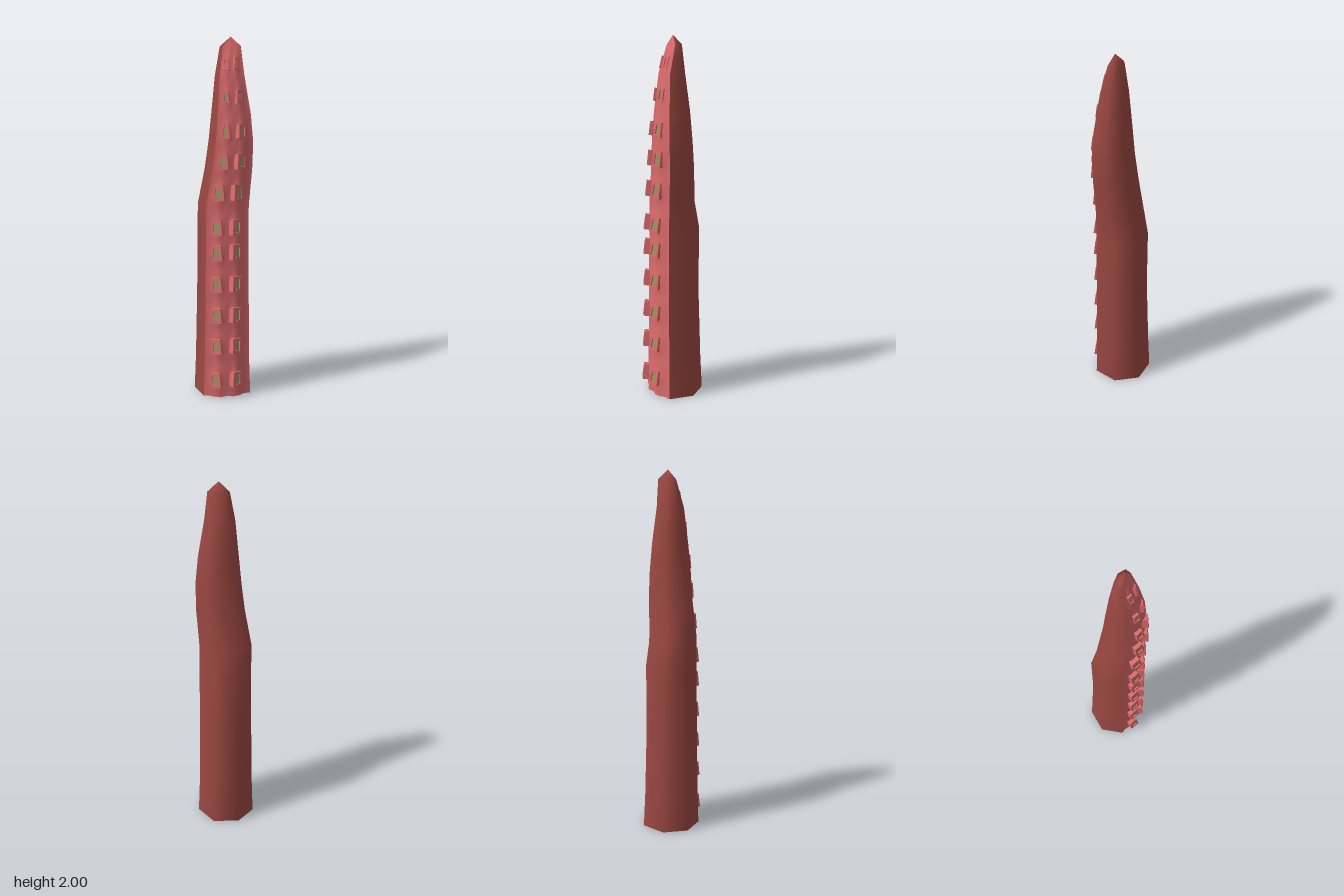
import * as THREE from 'three';

const skin = new THREE.MeshStandardMaterial({ color: 0x9c4842, side: THREE.DoubleSide });
const pink = new THREE.MeshStandardMaterial({ color: 0xd96a6c, side: THREE.DoubleSide });
const tan = new THREE.MeshStandardMaterial({ color: 0x9c9060 });

// Limits of the arm at each height: y, xMin, xMax, zMin, zMax
const levels = [
  [0, -0.165, 0.16, -0.16, 0.135],
  [0.2, -0.157, 0.152, -0.15, 0.13],
  [0.6, -0.148, 0.146, -0.136, 0.126],
  [0.95, -0.143, 0.143, -0.138, 0.124],
  [1.1, -0.143, 0.143, -0.108, 0.118],
  [1.3, -0.105, 0.158, -0.09, 0.12],
  [1.45, -0.085, 0.16, -0.075, 0.124],
  [1.6, -0.07, 0.145, -0.063, 0.113],
  [1.8, -0.05, 0.11, -0.043, 0.085],
  [1.95, -0.022, 0.092, -0.025, 0.038],
];
const tip = [0.035, 2, 0.015];
const suckerHeights = [0.11, 0.31, 0.49, 0.67, 0.85, 0.99, 1.18, 1.35, 1.51, 1.69, 1.86];

// Cross-sections: u spans the width (-1..1), t the depth (0 back..1 front)
const backProfile = [[0.86, 0.86], [1, 0.38], [0.42, 0], [-0.48, 0.02], [-1, 0.4], [-0.8, 0.85]];
const frontProfile = [[-0.8, 0.85], [-0.62, 0.87], [-0.42, 0.95], [-0.22, 0.99], [0.03, 0.94],
  [0.22, 0.99], [0.42, 0.97], [0.62, 0.88], [0.86, 0.86]];

function levelAt(y) {
  let i = 0;
  while (i < levels.length - 2 && levels[i + 1][0] < y) i++;
  const [a, b] = [levels[i], levels[i + 1]];
  const k = (y - a[0]) / (b[0] - a[0]);
  return a.map((v, j) => v + (b[j] - v) * k);
}

function pointAt(y, [u, t], swell = 0) {
  const [, x0, x1, z0, z1] = levelAt(y);
  return [(x0 + x1) / 2 + u * (x1 - x0) / 2, y, z0 + t * (z1 - z0) + swell];
}

// Skin a strip through the given heights and close it at the tip
function strip(name, profile, heights, swellAt, material) {
  const pos = [], index = [], n = profile.length;
  heights.forEach((y) => profile.forEach((p, j) => pos.push(...pointAt(y, p, swellAt(y, j)))));
  pos.push(...tip);
  for (let i = 0; i < heights.length; i++) {
    for (let j = 0; j < n - 1; j++) {
      const a = i * n + j, b = a + 1;
      if (i === heights.length - 1) index.push(a, b, heights.length * n);
      else index.push(a, b, b + n, a, b + n, a + n);
    }
  }
  return mesh(name, pos, index, material);
}

function mesh(name, pos, index, material) {
  const g = new THREE.BufferGeometry();
  g.setAttribute('position', new THREE.Float32BufferAttribute(pos, 3));
  g.setIndex(index);
  g.computeVertexNormals();
  const m = new THREE.Mesh(g, material);
  m.name = name;
  return m;
}

// Square rim with a sunken pad, its front face on z = 0
function makeSucker(w, h, depth) {
  const group = new THREE.Group();
  group.name = 'sucker';
  const rect = (path, a, b) => path.moveTo(-a, -b).lineTo(a, -b).lineTo(a * 0.9, b).lineTo(-a * 0.9, b).closePath();
  const shape = rect(new THREE.Shape(), w / 2, h / 2);
  shape.holes.push(rect(new THREE.Path(), w * 0.31, h * 0.33));
  const rimGeo = new THREE.ExtrudeGeometry(shape, { depth, bevelEnabled: false });
  rimGeo.translate(0, 0, -depth);
  const rim = new THREE.Mesh(rimGeo, pink);
  rim.name = 'suckerRim';
  const pad = new THREE.Mesh(new THREE.BoxGeometry(w * 0.66, h * 0.7, 0.006), tan);
  pad.name = 'suckerPad';
  pad.position.z = -0.011;
  group.add(rim, pad);
  return group;
}

export function createModel() {
  const model = new THREE.Group();
  model.name = 'tentacle';

  // Dark back and sides
  model.add(strip('backSkin', backProfile, levels.map((l) => l[0]), () => 0, skin));

  // Pink underside, swelling softly around each sucker
  const rows = [];
  for (let i = 0; i <= 52; i++) rows.push(1.95 * i / 52);
  const swell = (y, j) => {
    if (j < 2 || j > 6 || j === 4) return 0;
    const d = Math.min(...suckerHeights.map((s) => Math.abs(s - y)));
    return 0.005 * Math.cos(Math.min(d / 0.09, 1) * Math.PI);
  };
  model.add(strip('underside', frontProfile, rows, swell, pink));

  // Base cap, slightly hollow
  const ring = [...backProfile, ...frontProfile.slice(1, -1)];
  const pos = [0, 0.025, 0], index = [];
  ring.forEach((p, i) => {
    pos.push(...pointAt(0, p));
    index.push(0, 1 + (i + 1) % ring.length, 1 + i);
  });
  model.add(mesh('baseCap', pos, index, pink));

  // Two columns of suckers, shrinking toward the tip
  suckerHeights.forEach((y) => {
    const top = THREE.MathUtils.smoothstep(y, 1.2, 1.9);
    const slope = (levelAt(y + 0.04)[4] - levelAt(y - 0.04)[4]) / 0.08;
    for (const side of [-1, 1]) {
      const s = makeSucker(0.058 - 0.03 * top, 0.085 - 0.022 * top, 0.04 - 0.015 * top);
      const [x, , z] = pointAt(y, [side < 0 ? -0.45 : 0.35, 1]);
      s.position.set(x, y, z + 0.017 - 0.012 * top);
      s.rotation.set(-0.13 * (1 - top) + Math.min(slope, 0) * 0.8, side * 0.42, side * -0.04);
      model.add(s);
    }
  });
  return model;
}
